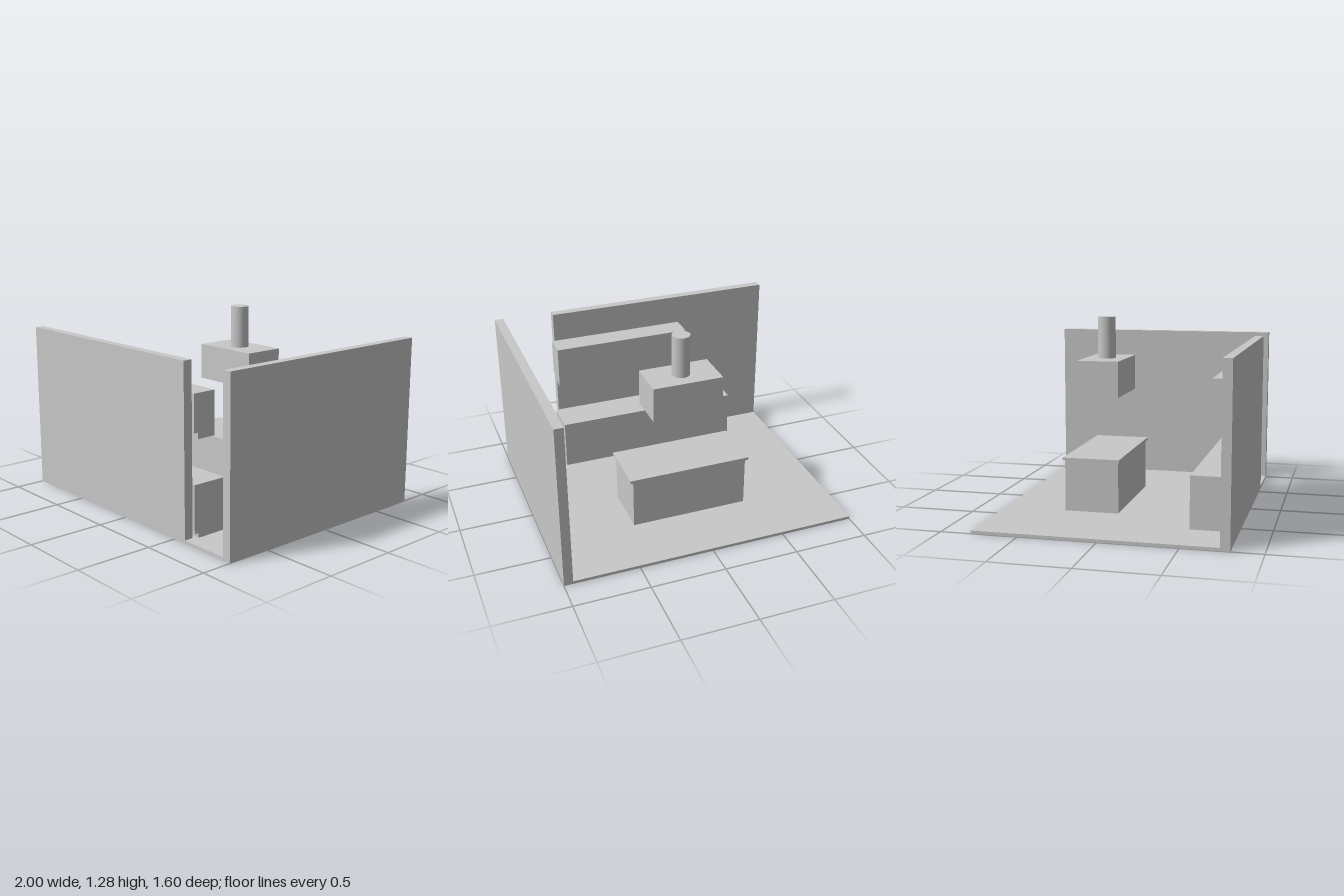
import * as THREE from 'three';

export function createModel() {
  const model = new THREE.Group();
  const gray = new THREE.MeshStandardMaterial({ color: 0xc8c8c8 });
  gray.name = 'light gray';

  const add = (name, geometry) => {
    const mesh = new THREE.Mesh(geometry, gray);
    mesh.name = name;
    model.add(mesh);
    return mesh;
  };

  // Box given by its extents on each axis
  const box = (name, [x0, x1], [y0, y1], [z0, z1]) =>
    add(name, new THREE.BoxGeometry(x1 - x0, y1 - y0, z1 - z0))
      .position.set((x0 + x1) / 2, (y0 + y1) / 2, (z0 + z1) / 2);

  // Cabinet run along x, with a recess along its lower edge on the wall side
  const cabinet = (name, [x0, x1], [y0, y1], [z0, z1], recess) => {
    const profile = new THREE.Shape([
      [z0, y0], [z1 - 0.03, y0], [z1 - 0.03, y0 + recess],
      [z1, y0 + recess], [z1, y1], [z0, y1],
    ].map(([z, y]) => new THREE.Vector2(z, y)));
    const geometry = new THREE.ExtrudeGeometry(profile, { depth: x1 - x0, bevelEnabled: false });
    geometry.rotateY(-Math.PI / 2).translate(x1, 0, 0);
    add(name, geometry);
  };

  // Room shell
  box('floor', [-1, 1], [0, 0.02], [-0.8, 0.8]);
  box('frontWall', [-1, 0.6], [0, 1.12], [0.74, 0.8]);
  box('sideWall', [0.94, 1], [0, 1.12], [-0.8, 0.8]);

  // Cabinets along the front wall
  cabinet('lowerCabinet', [-0.66, 0.62], [0.02, 0.36], [0.5, 0.74], 0.03);
  cabinet('upperCabinet', [-0.34, 0.62], [0.64, 0.92], [0.58, 0.74], 0.04);

  // Island with overhanging countertop
  box('islandBase', [-0.4, 0.4], [0.02, 0.36], [-0.38, -0.02]);
  box('islandCountertop', [-0.42, 0.42], [0.36, 0.38], [-0.39, -0.01]);

  // Hood above the island, with its duct
  box('hood', [-0.24, 0.24], [0.76, 1], [-0.34, -0.06]);
  add('hoodDuct', new THREE.CylinderGeometry(0.06, 0.06, 0.28, 40)).position.set(0, 1.14, -0.2);

  return model;
}
